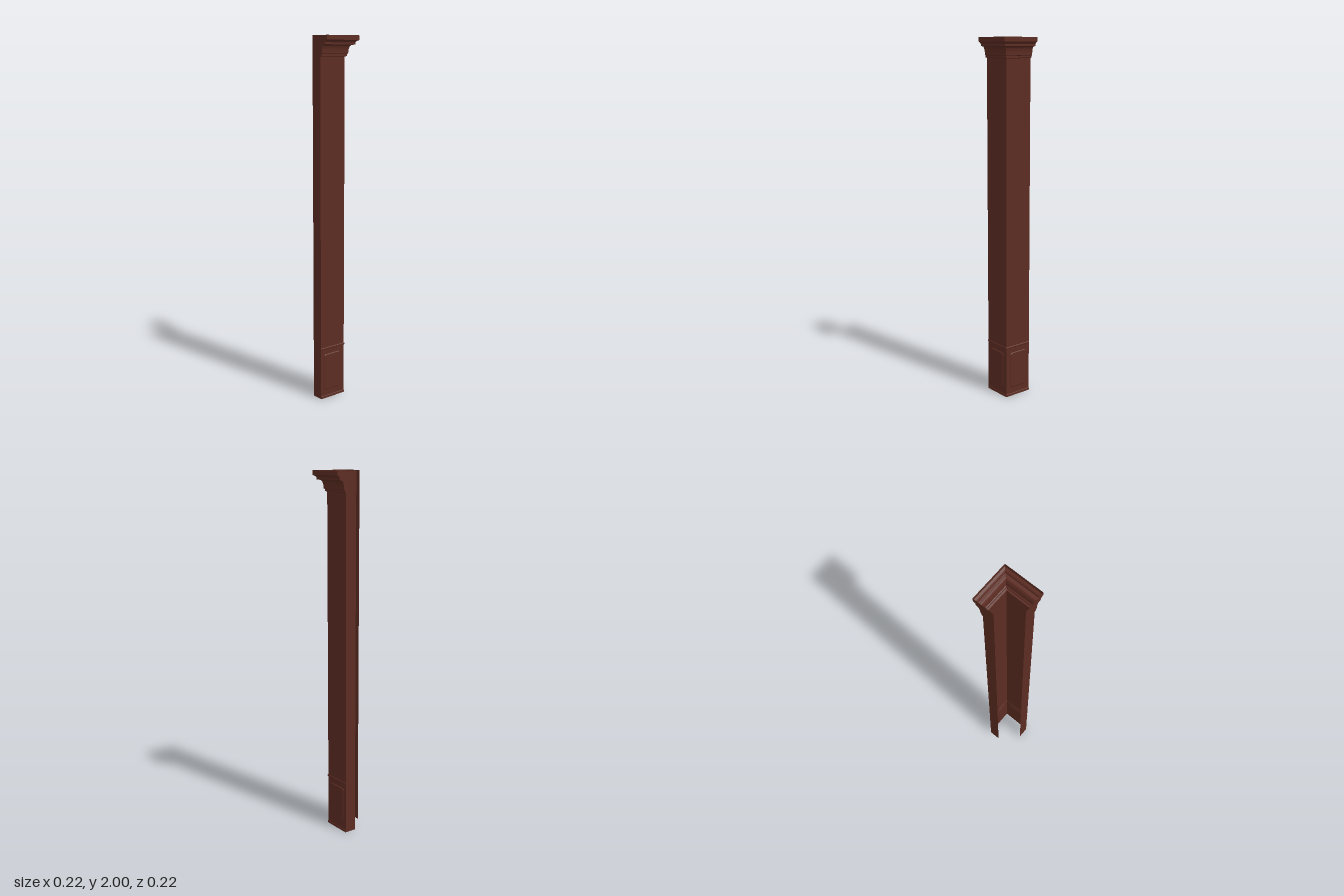
import * as THREE from 'three';

const END = 0.11;    // where each wing is cut off
const INNER = -0.01; // depth of the end returns

// Outward offset and height, from the floor to the top of the crown
const base = [[0.057, 0], [0.057, 0.012], [0.055, 0.015]];
const bead = [[0.055, 0.287], [0.058, 0.29], [0.058, 0.296], [0.055, 0.299]];
const crown = [[0.055, 1.89], [0.063, 1.893], [0.063, 1.903], [0.068, 1.906]];
for (let i = 1; i <= 6; i++) { // cove
  const a = (i / 6) * Math.PI / 2;
  crown.push([0.068 + 0.014 * (1 - Math.cos(a)), 1.906 + 0.044 * Math.sin(a)]);
}
crown.push([0.095, 1.953], [0.095, 1.963], [0.1, 1.97], [0.11, 1.976], [0.11, 2]);

// One mitred wing swept along z, its outside facing +x
function wing(profile) {
  const p = [];
  for (let i = 0; i < profile.length - 1; i++) {
    const [d0, y0] = profile[i], [d1, y1] = profile[i + 1];
    const a = [d0, y0, END], b = [d0, y0, -d0], c = [d1, y1, -d1], d = [d1, y1, END];
    p.push(...a, ...b, ...c, ...a, ...c, ...d);
  }
  const g = new THREE.BufferGeometry();
  g.setAttribute('position', new THREE.Float32BufferAttribute(p, 3));
  g.computeVertexNormals();
  return g;
}

// Reflects a geometry across the mitre: (x, y, z) -> (-z, y, -x)
function mirror(geometry) {
  const src = (geometry.index ? geometry.toNonIndexed() : geometry).attributes.position;
  const p = [];
  for (let i = 0; i < src.count; i += 3) {
    for (const k of [i, i + 2, i + 1]) p.push(-src.getZ(k), src.getY(k), -src.getX(k));
  }
  const g = new THREE.BufferGeometry();
  g.setAttribute('position', new THREE.Float32BufferAttribute(p, 3));
  g.computeVertexNormals();
  return g;
}

// Flat end return following the full moulding profile
function endCap() {
  const outline = [...base, ...bead, ...crown, [INNER, 2], [INNER, 0]];
  const shape = new THREE.Shape(outline.map(([x, y]) => new THREE.Vector2(x, y)));
  return new THREE.ShapeGeometry(shape).translate(0, 0, END);
}

// Raised panel with rounded corners and a bevelled rim
function raisedPanel() {
  const w = 0.058, h = 0.103, r = 0.016;
  const s = new THREE.Shape();
  s.moveTo(-w + r, -h);
  s.lineTo(w - r, -h).quadraticCurveTo(w, -h, w, -h + r);
  s.lineTo(w, h - r).quadraticCurveTo(w, h, w - r, h);
  s.lineTo(-w + r, h).quadraticCurveTo(-w, h, -w, h - r);
  s.lineTo(-w, -h + r).quadraticCurveTo(-w, -h, -w + r, -h);
  const g = new THREE.ExtrudeGeometry(s, {
    depth: 0.002, bevelEnabled: true, bevelThickness: 0.003, bevelSize: 0.004,
    bevelOffset: -0.002, bevelSegments: 1, curveSegments: 5,
  });
  return g.rotateY(Math.PI / 2).translate(0.055, 0.155, 0.03);
}

export function createModel() {
  const wood = new THREE.MeshStandardMaterial({
    color: 0x5c2c22, side: THREE.DoubleSide, flatShading: true,
  });
  wood.name = 'reddish brown wood';

  const model = new THREE.Group();
  model.name = 'cornerPilaster';

  const parts = {
    plinth: wing([...base, ...bead]),
    shaft: wing([bead[3], crown[0]]),
    crownMoulding: wing(crown),
    endReturn: endCap(),
    raisedPanel: raisedPanel(),
  };
  // Side wing, then its mirrored partner along the back
  for (const [name, geometry] of Object.entries(parts)) {
    for (const [prefix, g] of [['side', geometry], ['back', mirror(geometry)]]) {
      const mesh = new THREE.Mesh(g, wood);
      mesh.name = prefix + name[0].toUpperCase() + name.slice(1);
      model.add(mesh);
    }
  }
  return model;
}
